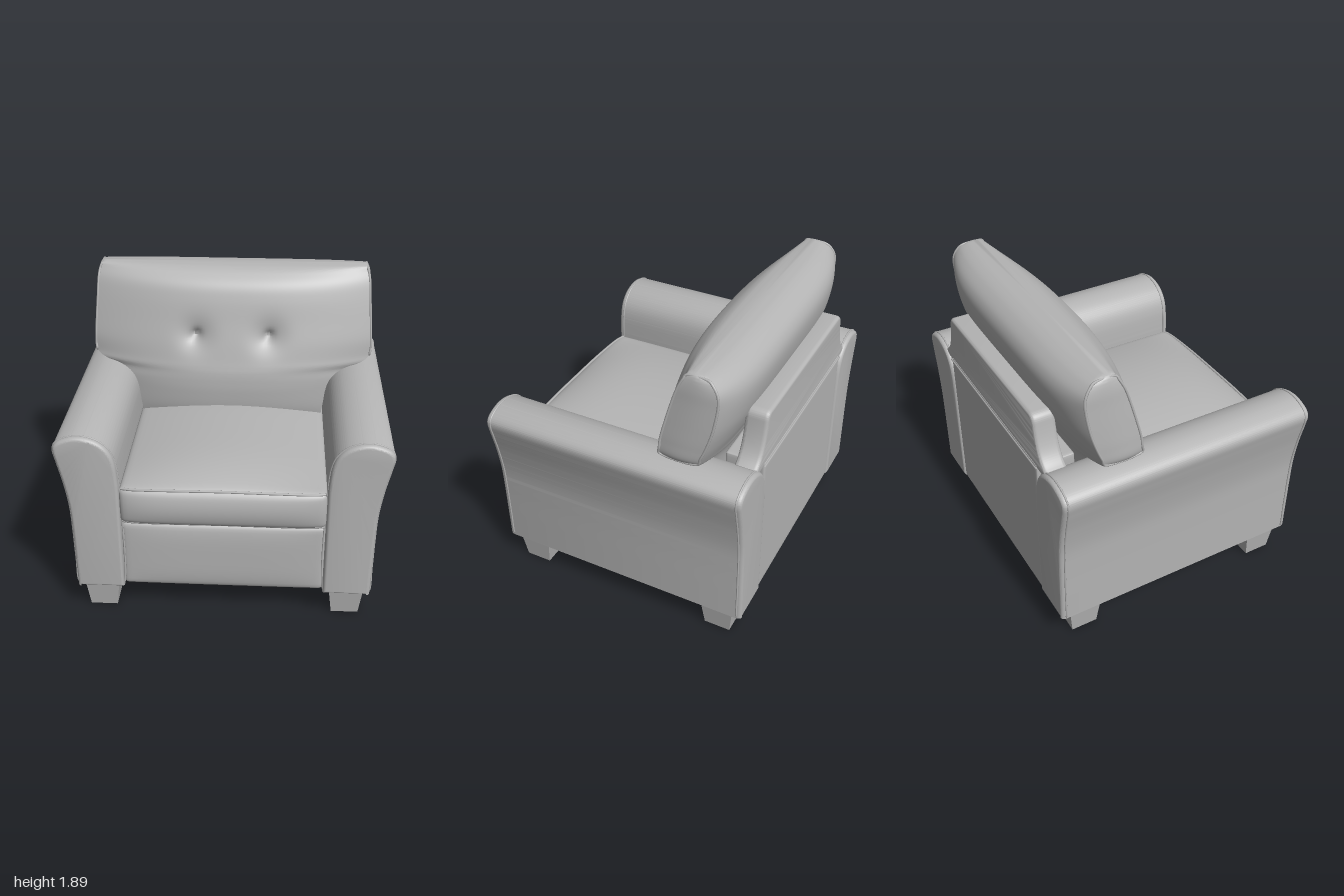
import * as THREE from 'three';
import { mergeVertices, toCreasedNormals } from 'three/addons/utils/BufferGeometryUtils.js';

const upholstery = new THREE.MeshStandardMaterial({ color: 0xb4b4b4 });
upholstery.name = 'grey upholstery';

function add(group, name, geometry) {
  const mesh = new THREE.Mesh(geometry, upholstery);
  mesh.name = name;
  group.add(mesh);
  return mesh;
}

// Rounded box with vertices gathered near its edges; warp(p, n) may shape it further, n runs -1..1
function softBox(min, max, r, warp) {
  const lo = new THREE.Vector3(...min), hi = new THREE.Vector3(...max);
  const half = hi.clone().sub(lo).multiplyScalar(0.5), mid = lo.clone().add(hi).multiplyScalar(0.5);
  const geo = new THREE.BoxGeometry(2, 2, 2, 26, 18, 26);
  const pos = geo.attributes.position, p = new THREE.Vector3(), core = half.clone().subScalar(r);
  const ease = (t) => Math.sign(t) * (1 - (1 - Math.abs(t)) ** 2);
  for (let i = 0; i < pos.count; i++) {
    p.fromBufferAttribute(pos, i);
    p.set(ease(p.x), ease(p.y), ease(p.z)).multiply(half);
    const inner = p.clone().clamp(core.clone().negate(), core);
    p.sub(inner).setLength(r).add(inner);
    const n = p.clone().divide(half);
    p.add(mid);
    if (warp) warp(p, n);
    pos.setXYZ(i, p.x, p.y, p.z);
  }
  geo.deleteAttribute('uv');
  geo.deleteAttribute('normal');
  const out = mergeVertices(geo, 1e-5);
  out.computeVertexNormals();
  return out;
}

function piping(points, closed, r = 0.008) {
  const path = new THREE.CatmullRomCurve3(points, closed, 'centripetal');
  return new THREE.TubeGeometry(path, 120, r, 6, closed);
}

// Extrusion between two z positions with rounded rims
function rounded(shape, z0, z1, thick, size) {
  const geo = new THREE.ExtrudeGeometry(shape, {
    depth: z1 - z0 - 2 * thick, bevelThickness: thick, bevelSize: size, bevelOffset: -size,
    bevelSegments: 5, curveSegments: 40,
  });
  geo.translate(0, 0, z0 + thick);
  return toCreasedNormals(geo, 0.6);
}

// Flared arm with rolled top
function makeArm(side) {
  const arm = new THREE.Group();
  arm.name = side > 0 ? 'leftArm' : 'rightArm';
  const v = (x, y) => new THREE.Vector2(side * x, y);
  const flare = [[0.915, 0.4], [0.918, 0.6], [0.925, 0.78], [0.95, 0.95], [0.983, 1.1], [0.996, 1.17], [0.985, 1.21],
    [0.945, 1.24], [0.87, 1.262], [0.79, 1.257], [0.715, 1.225], [0.66, 1.165], [0.632, 1.08], [0.62, 0.94]].map((q) => v(...q));
  const shape = new THREE.Shape();
  shape.moveTo(side * 0.62, 0.2);
  shape.lineTo(side * 0.912, 0.2);
  shape.splineThru(flare);
  shape.closePath();
  add(arm, 'armBody', rounded(shape, -0.86, 0.83, 0.03, 0.022));
  const seam = [v(0.625, 0.21), v(0.64, 0.203), v(0.89, 0.203), v(0.908, 0.21), ...flare];
  for (const z of [0.797, -0.83]) {
    add(arm, 'armPiping', piping(seam.map((q) => new THREE.Vector3(q.x, q.y, z)), true, 0.006));
  }
  return arm;
}

// Back cushion levels: height, half width, front z, back z, end panel front z, end panel back z
const LEVELS = [
  [0.88, 0.60, -0.16, -0.54, -0.22, -0.50],
  [0.98, 0.615, -0.13, -0.56, -0.21, -0.52],
  [1.10, 0.63, -0.122, -0.58, -0.21, -0.53],
  [1.18, 0.66, -0.125, -0.60, -0.22, -0.54],
  [1.235, 0.73, -0.132, -0.615, -0.25, -0.55],
  [1.275, 0.86, -0.142, -0.63, -0.29, -0.555],
  [1.32, 0.918, -0.155, -0.645, -0.32, -0.56],
  [1.42, 0.922, -0.183, -0.69, -0.33, -0.60],
  [1.55, 0.915, -0.222, -0.735, -0.36, -0.64],
  [1.70, 0.905, -0.265, -0.757, -0.40, -0.665],
  [1.79, 0.90, -0.305, -0.735, -0.43, -0.665],
  [1.85, 0.89, -0.37, -0.675, -0.46, -0.63],
  [1.88, 0.875, -0.425, -0.61, -0.475, -0.58],
  [1.89, 0.855, -0.48, -0.55, -0.50, -0.54],
];
const spline = new THREE.CubicInterpolant(LEVELS.map((_, i) => i), LEVELS.flat(), 6, new Array(6));
const level = (t) => [...spline.evaluate(t)];

function backCushionGeometry() {
  const N = 96, M = 10, rows = 90, verts = [], index = [];
  const count = 2 * (N + M);
  for (let j = 0; j <= rows; j++) {
    const [y, w, zf, zb, ef, eb] = level((j / rows) * (LEVELS.length - 1));
    const face = (u, front) => {
      let z = front ? ef + (zf - ef) * (1 - Math.abs(u) ** 2.4) : eb + (zb - eb) * (1 - Math.abs(u) ** 5);
      // Tufted dimples
      if (front) for (const bx of [-0.24, 0.24]) {
        const d = Math.hypot(u * w - bx, y - 1.47);
        z -= 0.035 * Math.exp(-((d / 0.1) ** 2)) + 0.035 * Math.exp(-((d / 0.035) ** 2));
      }
      verts.push(u * w, y, z);
    };
    const end = (s, t) => verts.push(s * (w + 0.012 * Math.sin(Math.PI * t)), y, s > 0 ? ef + (eb - ef) * t : eb + (ef - eb) * t);
    for (let i = 0; i < N; i++) face(-1 + (2 * i) / N, true);
    for (let i = 0; i < M; i++) end(1, i / M);
    for (let i = 0; i < N; i++) face(1 - (2 * i) / N, false);
    for (let i = 0; i < M; i++) end(-1, i / M);
  }
  for (let j = 0; j < rows; j++) for (let i = 0; i < count; i++) {
    const a = j * count + i, b = j * count + ((i + 1) % count);
    index.push(a, b, b + count, a, b + count, a + count);
  }
  // Close top and bottom
  const top = verts.length / 3;
  verts.push(0, 1.891, -0.515, 0, 0.88, -0.35);
  for (let i = 0; i < count; i++) {
    const k = (i + 1) % count;
    index.push(top, rows * count + i, rows * count + k, top + 1, k, i);
  }
  const geo = new THREE.BufferGeometry();
  geo.setAttribute('position', new THREE.Float32BufferAttribute(verts, 3));
  geo.setIndex(index);
  return toCreasedNormals(geo, 0.7);
}

export function createModel() {
  const chair = new THREE.Group();
  chair.name = 'armchair';

  // Frame: base, padded front panel and back panel
  add(chair, 'seatBase', new THREE.BoxGeometry(1.26, 0.48, 1.4).translate(0, 0.442, -0.05));
  add(chair, 'frontPanel', softBox([-0.625, 0.2, 0.5], [0.625, 0.665, 0.79], 0.03, (p, n) => {
    if (n.z > 0) p.z += 0.02 * (1 - n.x ** 4) * (1 - n.y ** 4);
  }));
  add(chair, 'backPanel', softBox([-0.635, 0.2, -0.848], [0.635, 1.22, -0.6], 0.015));

  // Raised back rail with concave shoulders
  const rail = new THREE.Shape();
  rail.moveTo(-0.74, 1.19);
  rail.lineTo(0.74, 1.19);
  rail.lineTo(0.735, 1.24);
  rail.bezierCurveTo(0.66, 1.28, 0.63, 1.38, 0.61, 1.5);
  rail.quadraticCurveTo(0.6, 1.55, 0.55, 1.55);
  rail.lineTo(-0.55, 1.55);
  rail.quadraticCurveTo(-0.6, 1.55, -0.61, 1.5);
  rail.bezierCurveTo(-0.63, 1.38, -0.66, 1.28, -0.735, 1.24);
  rail.closePath();
  add(chair, 'backRail', rounded(rail, -0.842, -0.7, 0.025, 0.02));
  add(chair, 'backRailPiping', piping([-0.64, 0, 0.64].map((x) => new THREE.Vector3(x, 1.2, -0.846)), false));

  // Crowned seat cushion with piped front edges
  add(chair, 'seatCushion', softBox([-0.625, 0.675, -0.55], [0.625, 0.92, 0.83], 0.035, (p, n) => {
    if (n.y > 0) p.y += 0.092 * n.y * (1 - n.x ** 2) * (1 - n.z ** 4);
    if (n.z > 0) p.z += 0.03 * n.z ** 6 * (1 - n.y ** 2) * (1 - 0.6 * n.x ** 4);
    if (n.z > 0.5) p.z -= 0.02 * n.x ** 8;
  }));
  for (const [y, sag] of [[0.913, 0.012], [0.683, 0.01]]) {
    const pts = [-0.61, -0.55, -0.3, 0, 0.3, 0.55, 0.61].map((x) =>
      new THREE.Vector3(x, y + sag * (1 - (x / 0.61) ** 2), 0.823 - 0.025 * (Math.abs(x) / 0.61) ** 8));
    add(chair, 'seatPiping', piping(pts, false, 0.009));
  }

  // Tilted back cushion with piped end panels
  add(chair, 'backCushion', backCushionGeometry());
  for (const s of [-1, 1]) {
    const front = [], back = [];
    for (let t = 6; t <= 11.5; t += 0.5) {
      const [y, w, , , ef, eb] = level(t);
      front.push(new THREE.Vector3(s * w, y, ef));
      back.unshift(new THREE.Vector3(s * w, y, eb));
    }
    add(chair, 'backCushionPiping', piping([...front, ...back], true));
  }

  // Arms and tapered square legs
  for (const s of [-1, 1]) {
    chair.add(makeArm(s));
    for (const z of [0.66, -0.68]) {
      const leg = new THREE.CylinderGeometry(0.11 * Math.SQRT2, 0.085 * Math.SQRT2, 0.21, 4).toNonIndexed();
      leg.computeVertexNormals();
      leg.rotateY(Math.PI / 4);
      add(chair, z > 0 ? 'frontLeg' : 'backLeg', leg).position.set(s * 0.77, 0.105, z);
    }
  }
  return chair;
}
